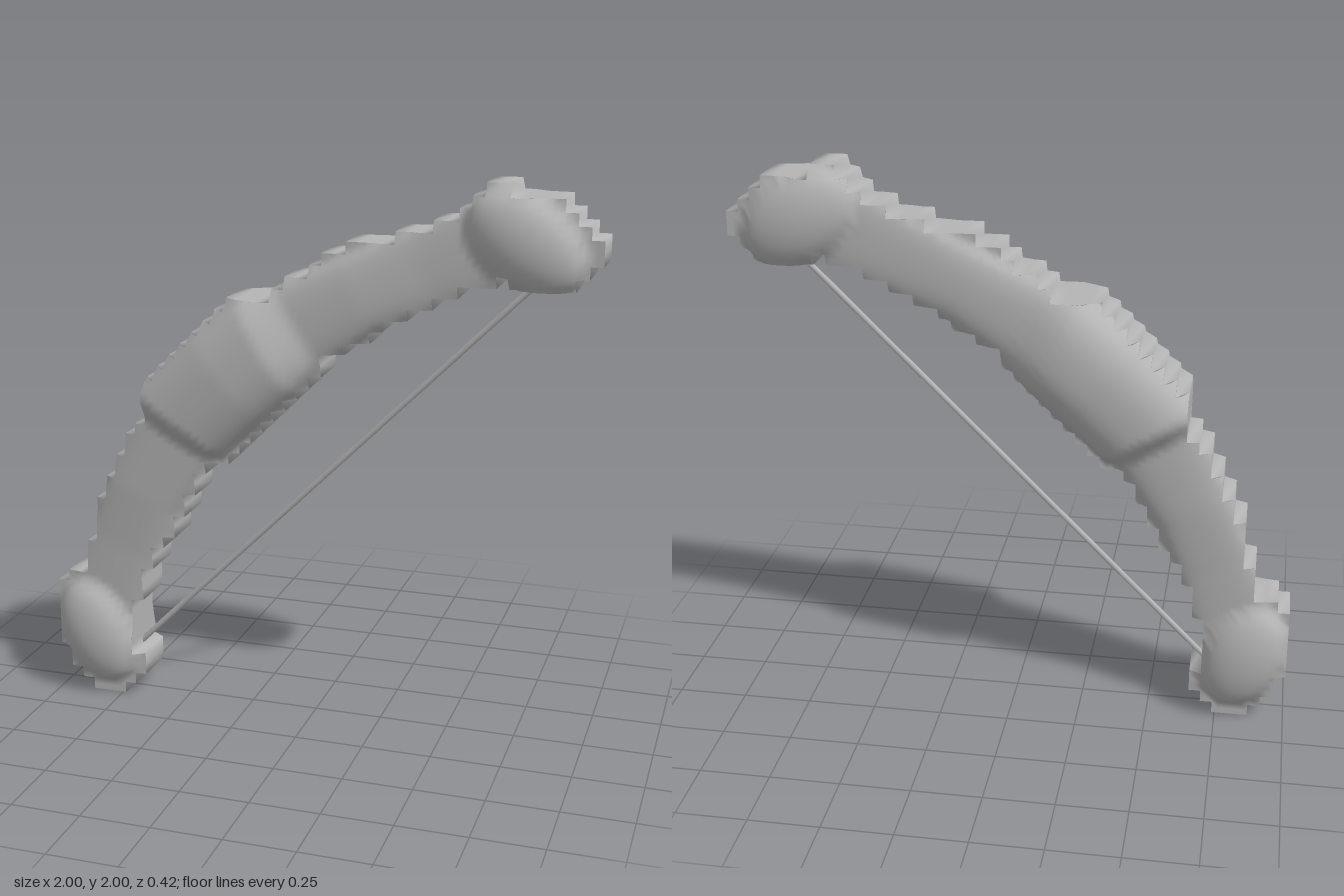
import * as THREE from 'three';
import { mergeVertices } from 'three/addons/utils/BufferGeometryUtils.js';

const CELL = 2 / 46; // the outline is a stepped 46 x 46 grid
const SUB = 2;       // subdivisions per cell on the rounded faces
const RIM = 0.085;   // half depth along the outline

// first and last column of the bow on every row, from the bottom up
const START = [3, 2, 1, 1, 0, 0, 0, 0, 0, 0, 1, 3, 3, 3, 4, 4, 4, 4, 5, 5, 6, 6, 7, 7, 8, 9, 9, 9, 9,
  10, 11, 12, 13, 14, 15, 16, 20, 21, 23, 24, 26, 30, 33, 35, 36, 37];
const END = [6, 7, 8, 8, 7, 7, 7, 7, 7, 8, 8, 8, 9, 9, 10, 11, 11, 12, 12, 13, 13, 14, 16, 17, 18, 19, 20, 21, 22,
  23, 24, 24, 26, 28, 29, 31, 33, 35, 44, 45, 46, 46, 45, 44, 43, 39];

// centre line of the bow: x, y, half width, half depth
const SPINE = [
  [-0.81, -0.02, 0.12, 0.06], [-0.82, 0.10, 0.15, 0.095], [-0.84, 0.26, 0.16, 0.10],
  [-0.79, 0.42, 0.14, 0.105], [-0.73, 0.60, 0.135, 0.11], [-0.64, 0.82, 0.145, 0.125],
  [-0.51, 1.06, 0.17, 0.13], [-0.48, 1.11, 0.195, 0.20], [-0.29, 1.29, 0.20, 0.21],
  [-0.15, 1.41, 0.195, 0.20], [-0.04, 1.48, 0.16, 0.135], [0.17, 1.60, 0.14, 0.13],
  [0.40, 1.70, 0.135, 0.11], [0.57, 1.77, 0.14, 0.105], [0.72, 1.81, 0.17, 0.10],
  [0.86, 1.81, 0.16, 0.095], [0.98, 1.78, 0.10, 0.08],
];

// oval swellings at the tips: centre, long and short radius, tilt
const KNOBS = [
  { x: 0.74, y: 1.81, long: 0.22, short: 0.15, tilt: -0.6 },
  { x: -0.84, y: 0.25, long: 0.21, short: 0.145, tilt: 1.95 },
];

const inside = (c, r) => r >= 0 && r < 46 && c >= START[r] && c < END[r] && !(r === 38 && c === 38);

// rounded half depth of the bow at a point
function depthAt(x, y) {
  let best = Infinity, width = 0, depth = 0;
  for (let i = 0; i < SPINE.length - 1; i++) {
    const [ax, ay, aw, ad] = SPINE[i], [bx, by, bw, bd] = SPINE[i + 1];
    const dx = bx - ax, dy = by - ay;
    const t = THREE.MathUtils.clamp(((x - ax) * dx + (y - ay) * dy) / (dx * dx + dy * dy), 0, 1);
    const d = Math.hypot(x - ax - t * dx, y - ay - t * dy);
    if (d < best) {
      best = d;
      width = aw + t * (bw - aw);
      depth = ad + t * (bd - ad);
    }
  }
  const rim = Math.min(RIM, depth);
  let result = rim + (depth - rim) * Math.sqrt(Math.max(0, 1 - (best / width) ** 2.4));
  for (const k of KNOBS) {
    const cos = Math.cos(k.tilt), sin = Math.sin(k.tilt);
    const u = ((x - k.x) * cos + (y - k.y) * sin) / k.long;
    const v = ((y - k.y) * cos - (x - k.x) * sin) / k.short;
    result = Math.max(result, RIM + (0.17 - RIM) * Math.sqrt(Math.max(0, 1 - u * u - v * v)));
  }
  return result;
}

function makeGeometry(positions, indices) {
  const geometry = new THREE.BufferGeometry();
  geometry.setAttribute('position', new THREE.Float32BufferAttribute(positions, 3));
  geometry.setIndex(indices);
  const merged = mergeVertices(geometry);
  merged.computeVertexNormals();
  return merged;
}

// one rounded face: side 1 is the front, -1 the back
function faceGeometry(side) {
  const positions = [], indices = [];
  const vertex = (i, j) => {
    const x = i * CELL / SUB - 1, y = j * CELL / SUB;
    positions.push(x, y, side * depthAt(x, y));
  };
  for (let j = 0; j < 46 * SUB; j++) for (let i = 0; i < 46 * SUB; i++) {
    if (!inside(Math.floor(i / SUB), Math.floor(j / SUB))) continue;
    const n = positions.length / 3;
    vertex(i, j);
    vertex(i + 1, j);
    vertex(i + 1, j + 1);
    vertex(i, j + 1);
    if (side > 0) indices.push(n, n + 1, n + 2, n, n + 2, n + 3);
    else indices.push(n, n + 2, n + 1, n, n + 3, n + 2);
  }
  return makeGeometry(positions, indices);
}

// stepped walls joining the two faces, smoothed along the steps
function wallGeometry() {
  const positions = [], indices = [];
  const wall = (c0, r0, c1, r1) => {
    const n = positions.length / 3;
    const x0 = c0 * CELL - 1, y0 = r0 * CELL, x1 = c1 * CELL - 1, y1 = r1 * CELL;
    const z0 = depthAt(x0, y0), z1 = depthAt(x1, y1);
    positions.push(x0, y0, -z0, x1, y1, -z1, x1, y1, z1, x0, y0, z0);
    indices.push(n, n + 1, n + 2, n, n + 2, n + 3);
  };
  for (let r = 0; r < 46; r++) for (let c = 0; c < 46; c++) {
    if (!inside(c, r)) continue;
    if (!inside(c, r - 1)) wall(c, r, c + 1, r);
    if (!inside(c + 1, r)) wall(c + 1, r, c + 1, r + 1);
    if (!inside(c, r + 1)) wall(c + 1, r + 1, c, r + 1);
    if (!inside(c - 1, r)) wall(c, r + 1, c, r);
  }
  return makeGeometry(positions, indices);
}

export function createModel() {
  const group = new THREE.Group();
  group.name = 'bow';
  const grey = new THREE.MeshStandardMaterial({ color: 0xb4b4b4 });
  grey.name = 'grey';
  const add = (name, geometry) => {
    const mesh = new THREE.Mesh(geometry, grey);
    mesh.name = name;
    group.add(mesh);
    return mesh;
  };

  add('bowFront', faceGeometry(1));
  add('bowBack', faceGeometry(-1));
  add('bowEdge', wallGeometry());

  // string stretched between the two tips
  const from = new THREE.Vector3(-0.71, 0.18, 0), to = new THREE.Vector3(0.79, 1.68, 0);
  const string = add('bowString', new THREE.CylinderGeometry(0.011, 0.011, from.distanceTo(to), 8));
  string.position.lerpVectors(from, to, 0.5);
  string.quaternion.setFromUnitVectors(new THREE.Vector3(0, 1, 0), to.clone().sub(from).normalize());

  return group;
}
